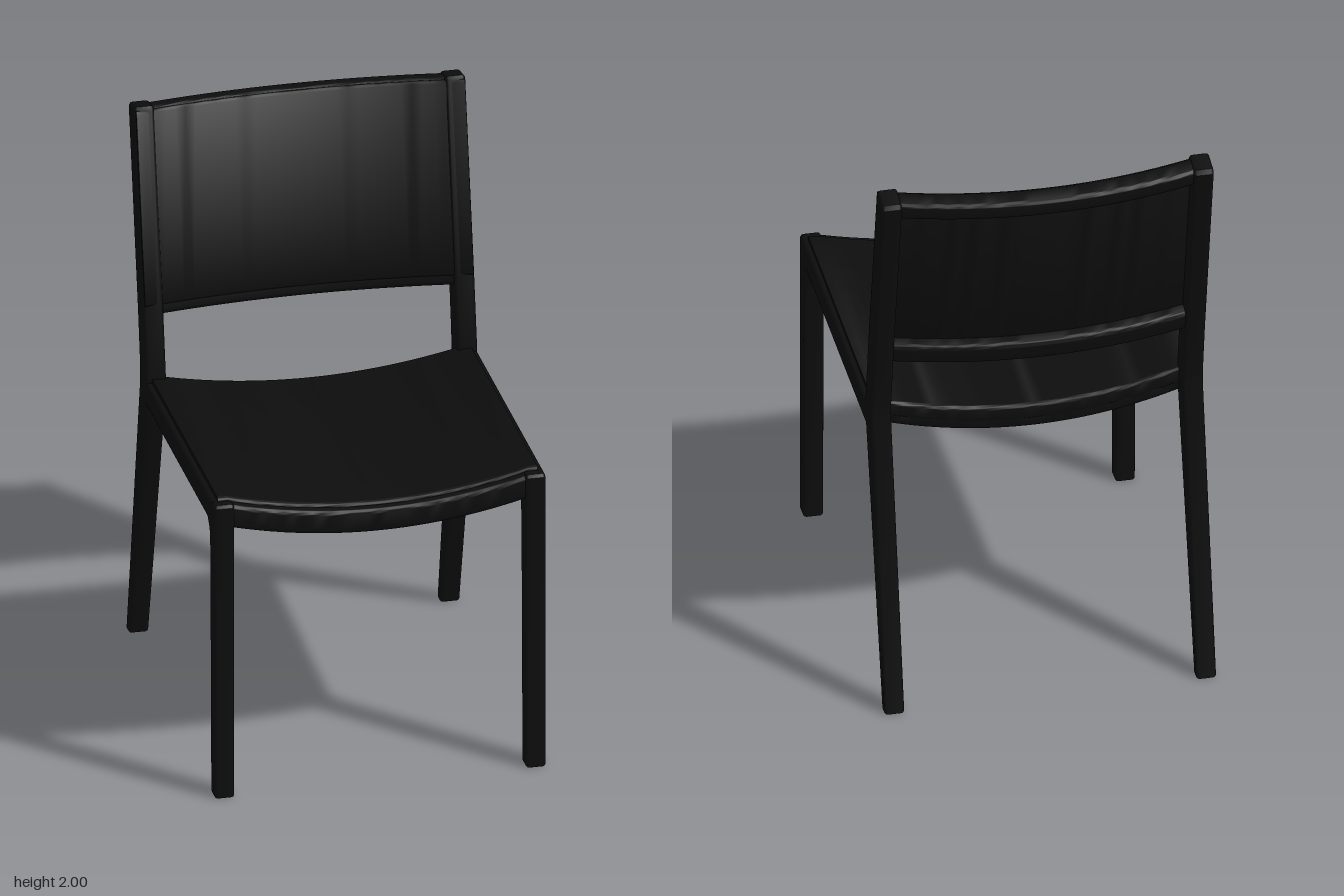
import * as THREE from 'three';
import { toCreasedNormals } from 'three/addons/utils/BufferGeometryUtils.js';

const black = new THREE.MeshStandardMaterial({ color: 0x0d0d0d });
black.name = 'black plastic';

function part(name, geometry, parent) {
  const mesh = new THREE.Mesh(toCreasedNormals(geometry, 0.7), black);
  mesh.name = name;
  parent.add(mesh);
  return mesh;
}

// Rounded rectangle in (-z, y), ready to be swept along x
function roundedRect(z0, z1, y0, y1, r) {
  const a = -z1, b = -z0, s = new THREE.Shape();
  s.absarc(b - r, y1 - r, r, 0, Math.PI / 2, false);
  s.absarc(a + r, y1 - r, r, Math.PI / 2, Math.PI, false);
  s.absarc(a + r, y0 + r, r, Math.PI, Math.PI * 1.5, false);
  s.absarc(b - r, y0 + r, r, Math.PI * 1.5, Math.PI * 2, false);
  s.closePath();
  return s;
}

// Sweeps a section across the chair, then moves each vertex by a rule
function crossBar(halfWidth, section, rule) {
  const g = new THREE.ExtrudeGeometry(section, {
    depth: halfWidth * 2, steps: 32, bevelEnabled: false, curveSegments: 4,
  });
  g.translate(0, 0, -halfWidth).rotateY(Math.PI / 2);
  const p = g.attributes.position, v = new THREE.Vector3();
  for (let i = 0; i < p.count; i++) {
    v.fromBufferAttribute(p, i);
    rule(v);
    p.setXYZ(i, v.x, v.y, v.z);
  }
  return g;
}

// Side profile of [z, y] points, extruded to a soft-edged post 0.07 wide
function sidePost(points, x) {
  const shape = new THREE.Shape(points.map(([z, y]) => new THREE.Vector2(-z, y)));
  const bevel = 0.011;
  const g = new THREE.ExtrudeGeometry(shape, {
    depth: 0.07 - bevel * 2, bevelThickness: bevel, bevelSize: bevel,
    bevelOffset: -bevel, bevelSegments: 3,
  });
  return g.translate(0, 0, -0.035 + bevel).rotateY(Math.PI / 2).translate(x, 0, 0);
}

const hollow = (x, half) => Math.max(0, 1 - (x / half) ** 2);

// The seat dips in the middle, slopes to the rear and bows at its rear edge
function seatRule(v) {
  const h = hollow(v.x, 0.52);
  v.y -= 0.07 * h + 0.03 * (0.65 - v.z);
  if (v.z < -0.2) v.z -= 0.02 * h;
}

// The backrest bows to the rear
function backRule(v) {
  v.z -= 0.075 * hollow(v.x, 0.56);
}

export function createModel() {
  const chair = new THREE.Group();
  chair.name = 'chair';

  // Legs and side rails
  for (const [side, s] of [['left', 1], ['right', -1]]) {
    part(side + 'FrontLeg', sidePost([
      [0.685, 0], [0.625, 0], [0.61, 0.9], [0.6, 0.97], [0.57, 1.0],
      [0.57, 1.083], [0.675, 1.087], [0.685, 1.077],
    ], s * 0.535), chair);
    part(side + 'RearLegAndPost', sidePost([
      [-0.62, 0], [-0.66, 0], [-0.453, 1.03], [-0.455, 1.09], [-0.483, 1.26],
      [-0.625, 1.965], [-0.615, 1.982], [-0.54, 1.997], [-0.53, 1.985],
      [-0.395, 1.32], [-0.35, 1.07], [-0.353, 1.0], [-0.375, 0.92],
    ], s * 0.535), chair);
    part(side + 'SideRail', sidePost([
      [0.64, 1.0], [0.64, 1.086], [-0.4, 1.055], [-0.4, 0.97],
    ], s * 0.535), chair);
  }

  // Seat
  part('seatPanel', crossBar(0.55, roundedRect(-0.385, 0.645, 1.04, 1.1, 0.015), seatRule), chair);
  part('frontSeatRail', crossBar(0.53, roundedRect(0.6, 0.678, 1.0, 1.087, 0.018), seatRule), chair);
  part('rearSeatRail', crossBar(0.53, roundedRect(-0.383, -0.32, 1.01, 1.09, 0.016), seatRule), chair);

  // Backrest, built upright and then leaned back
  const back = new THREE.Group();
  back.name = 'backrest';
  back.position.set(0, 1.32, -0.385);
  back.rotation.x = -0.2;
  chair.add(back);
  part('backPanel', crossBar(0.565, roundedRect(-0.04, 0, 0.003, 0.682, 0.012), backRule), back);
  part('lowerBackRail', crossBar(0.53, roundedRect(-0.085, -0.008, -0.032, 0.045, 0.018), backRule), back);
  part('upperBackRail', crossBar(0.555, roundedRect(-0.085, -0.008, 0.625, 0.69, 0.018), backRule), back);
  return chair;
}
